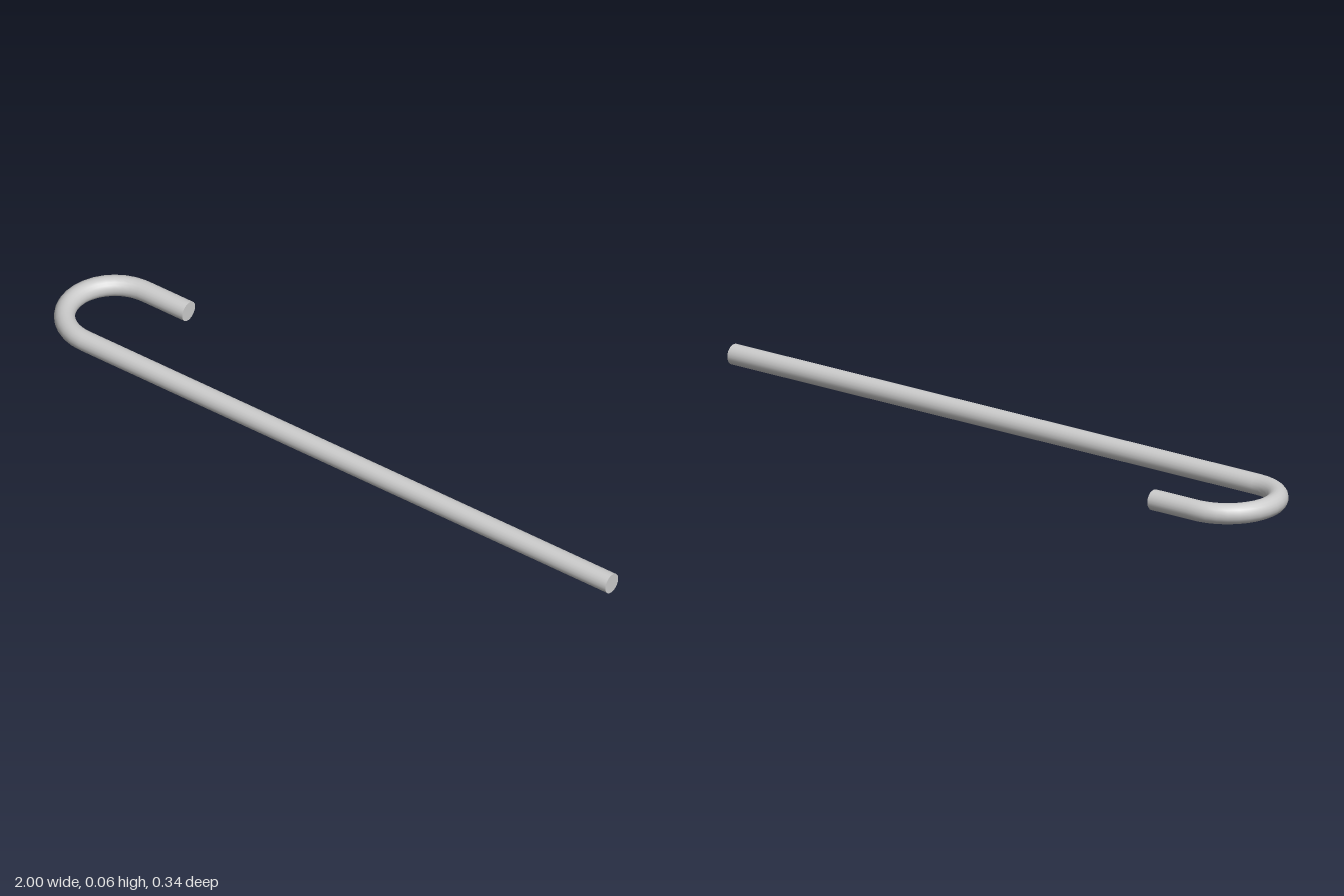
import * as THREE from 'three';

const ROD = 0.0295;    // rod radius
const BEND = 0.14;     // centreline radius of the bend
const Y = 0.033;       // height of the centreline
const BEND_X = -0.83;  // centre of the bend
const SHANK_END = 1;
const TIP_END = -0.68;

// Half circle from the shank (+z) round through -x to the tip (-z)
class BendCurve extends THREE.Curve {
  getPoint(t, target = new THREE.Vector3()) {
    const a = t * Math.PI;
    return target.set(BEND_X - BEND * Math.sin(a), Y, BEND * Math.cos(a));
  }
}

export function createModel() {
  const group = new THREE.Group();
  group.name = 'hookedRod';
  const material = new THREE.MeshStandardMaterial({ color: 0xcccccc });

  const add = (name, geometry) => {
    const mesh = new THREE.Mesh(geometry, material);
    mesh.name = name;
    group.add(mesh);
    return mesh;
  };

  // Long shank, bend and short tip as one continuous rod
  const path = new THREE.CurvePath();
  path.add(new THREE.LineCurve3(new THREE.Vector3(SHANK_END, Y, BEND), new THREE.Vector3(BEND_X, Y, BEND)));
  path.add(new BendCurve());
  path.add(new THREE.LineCurve3(new THREE.Vector3(BEND_X, Y, -BEND), new THREE.Vector3(TIP_END, Y, -BEND)));
  add('rod', new THREE.TubeGeometry(path, 90, ROD, 20, false));

  // Flat cut faces, both pointing to +x
  for (const [name, x, z] of [['shankEnd', SHANK_END, BEND], ['tipEnd', TIP_END, -BEND]]) {
    const cap = add(name, new THREE.CircleGeometry(ROD, 20));
    cap.rotation.y = Math.PI / 2;
    cap.position.set(x, Y, z);
  }
  return group;
}
